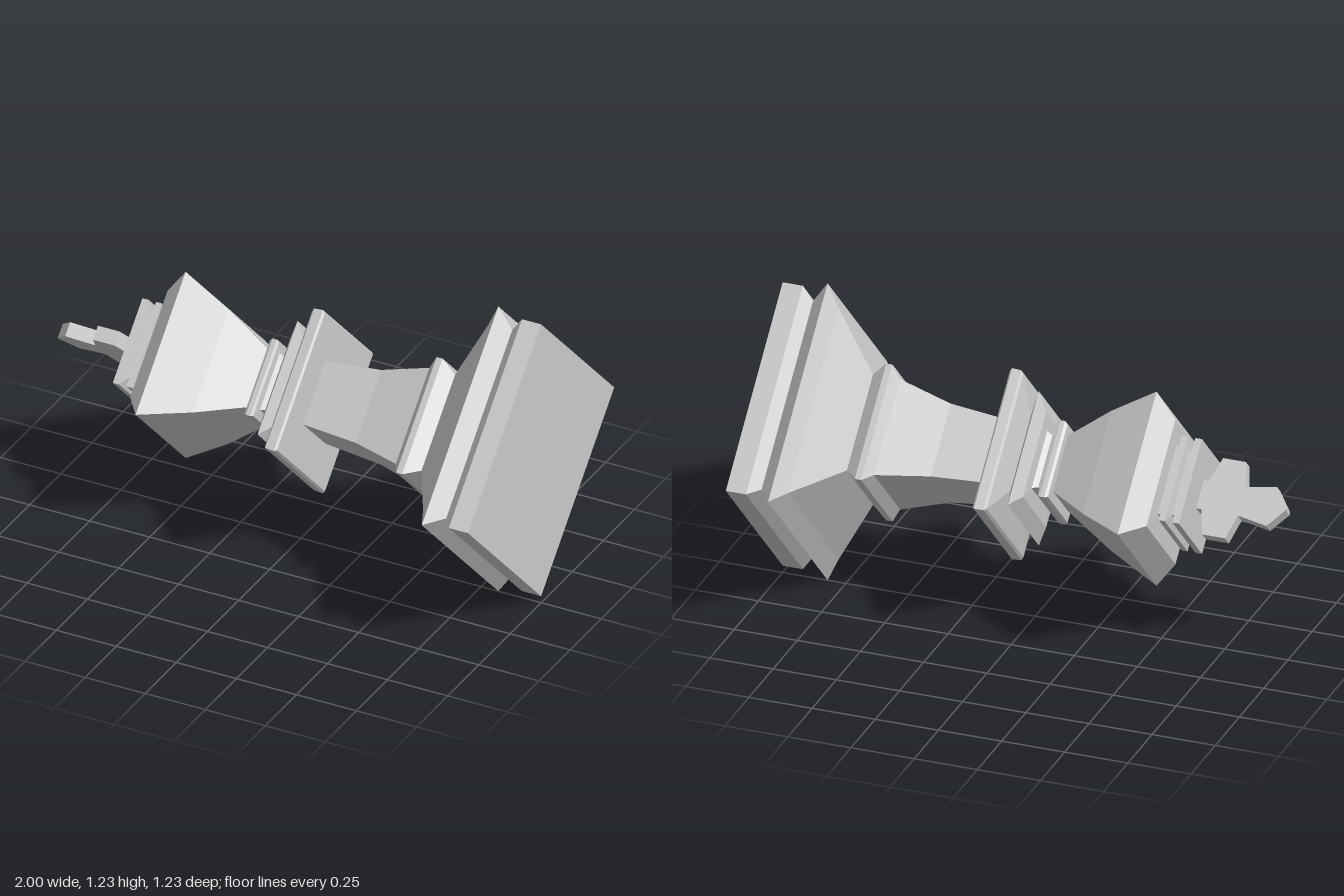
import * as THREE from 'three';

const material = new THREE.MeshStandardMaterial({ color: 0xcccccc, flatShading: true });
const AXIS_HEIGHT = 0.615;

// Square turned section lying along x; profile points are [x, radius], from +x to -x
function turned(name, profile) {
  const points = profile.map(([x, r]) => new THREE.Vector2(r, -x));
  const geometry = new THREE.LatheGeometry(points, 4).toNonIndexed();
  geometry.computeVertexNormals();
  geometry.rotateZ(Math.PI / 2);
  const mesh = new THREE.Mesh(geometry, material);
  mesh.name = name;
  return mesh;
}

// Flat cross with a pointed tip, mirrored about the long axis
function cross() {
  const half = [[-0.64, 0.057], [-0.68, 0.057], [-0.71, 0.152], [-0.8, 0.152],
    [-0.825, 0.057], [-0.943, 0.078], [-1, 0.006]];
  const outline = [...half, ...half.map(([x, w]) => [x, -w]).reverse()];
  const shape = new THREE.Shape(outline.map(([x, w]) => new THREE.Vector2(x, w)));
  const depth = 0.056;
  const geometry = new THREE.ExtrudeGeometry(shape, { depth, bevelEnabled: false });
  geometry.translate(0, 0, -depth / 2);
  geometry.rotateX(Math.PI / 4);
  const mesh = new THREE.Mesh(geometry, material);
  mesh.name = 'cross';
  return mesh;
}

export function createModel() {
  const piece = new THREE.Group();
  piece.name = 'chessKing';
  piece.position.y = AXIS_HEIGHT;

  piece.add(
    // Foot, lip and sloping shoulder
    turned('base', [[1, 0], [1, 0.587], [0.92, 0.587], [0.88, 0.53], [0.822, 0.615],
      [0.778, 0.52], [0.642, 0.27]]),
    // Ring at the bottom of the stem, then the tapering stem
    turned('stem', [[0.642, 0.27], [0.59, 0.325], [0.565, 0.325], [0.535, 0.27],
      [0.335, 0.205], [0.102, 0.178]]),
    // Wide disc, sharp ridge and small ring
    turned('collar', [[0.102, 0.178], [0.1, 0.385], [0.092, 0.396], [0.055, 0.393],
      [0.047, 0.38], [0.018, 0.21], [-0.014, 0.32], [-0.043, 0.24], [-0.047, 0.16],
      [-0.068, 0.147], [-0.088, 0.16], [-0.09, 0.21], [-0.1, 0.215], [-0.118, 0.215],
      [-0.128, 0.205], [-0.13, 0.157]]),
    // Flared head
    turned('head', [[-0.13, 0.157], [-0.3, 0.29], [-0.48, 0.402], [-0.555, 0.3], [-0.558, 0.19]]),
    // Two thin stacked plates closing the head
    turned('crownPlates', [[-0.558, 0.19], [-0.575, 0.19], [-0.58, 0.238], [-0.603, 0.238],
      [-0.61, 0.18], [-0.625, 0.18], [-0.634, 0.238], [-0.66, 0.238], [-0.66, 0]]),
    cross(),
  );

  const model = new THREE.Group();
  model.add(piece);
  return model;
}
